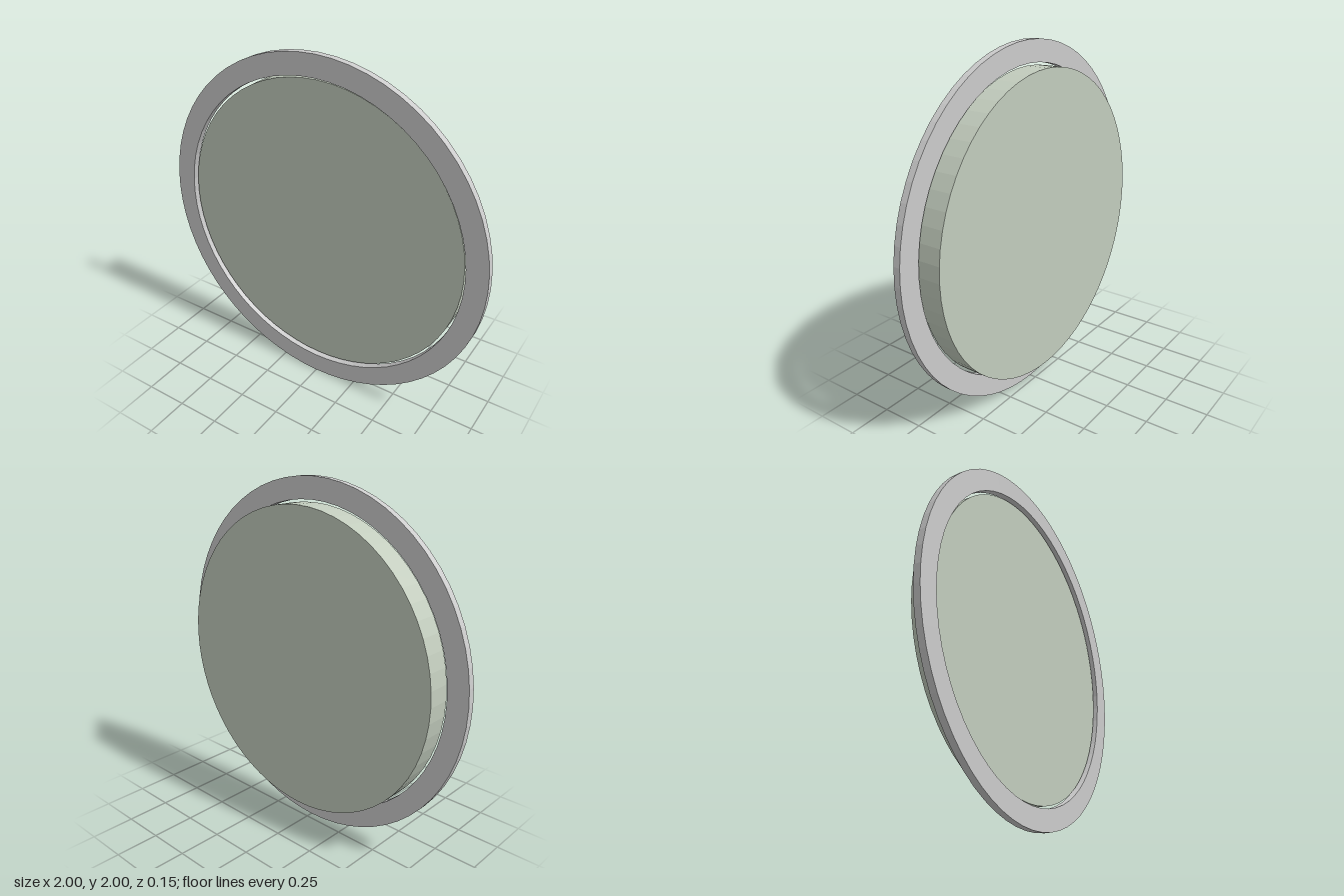
import * as THREE from 'three';

const SEGMENTS = 64;

// Turn a shape made around y so that it faces +z, and lift it to stand on y = 0
function facing(name, geometry, color) {
  geometry.rotateX(Math.PI / 2);
  const material = new THREE.MeshStandardMaterial({ color, flatShading: true });
  const mesh = new THREE.Mesh(geometry, material);
  mesh.name = name;
  mesh.position.y = 1;
  return mesh;
}

export function createModel() {
  const group = new THREE.Group();
  group.name = 'roundPanel';

  // Flat rim: rectangular section turned into a ring
  const inner = 0.88, outer = 1, back = 0.038, front = 0.077;
  const section = [
    [inner, back], [outer, back], [outer, front], [inner, front], [inner, back],
  ].map(([r, z]) => new THREE.Vector2(r, z));
  group.add(facing('rim', new THREE.LatheGeometry(section, SEGMENTS), 0xcccccc));

  // Solid disc, slightly recessed inside the rim and standing out behind it
  const discBack = -0.077, discFront = 0.056;
  const disc = new THREE.CylinderGeometry(0.866, 0.866, discFront - discBack, SEGMENTS);
  disc.translate(0, (discFront + discBack) / 2, 0);
  group.add(facing('disc', disc, 0xc2ccbd));

  return group;
}
